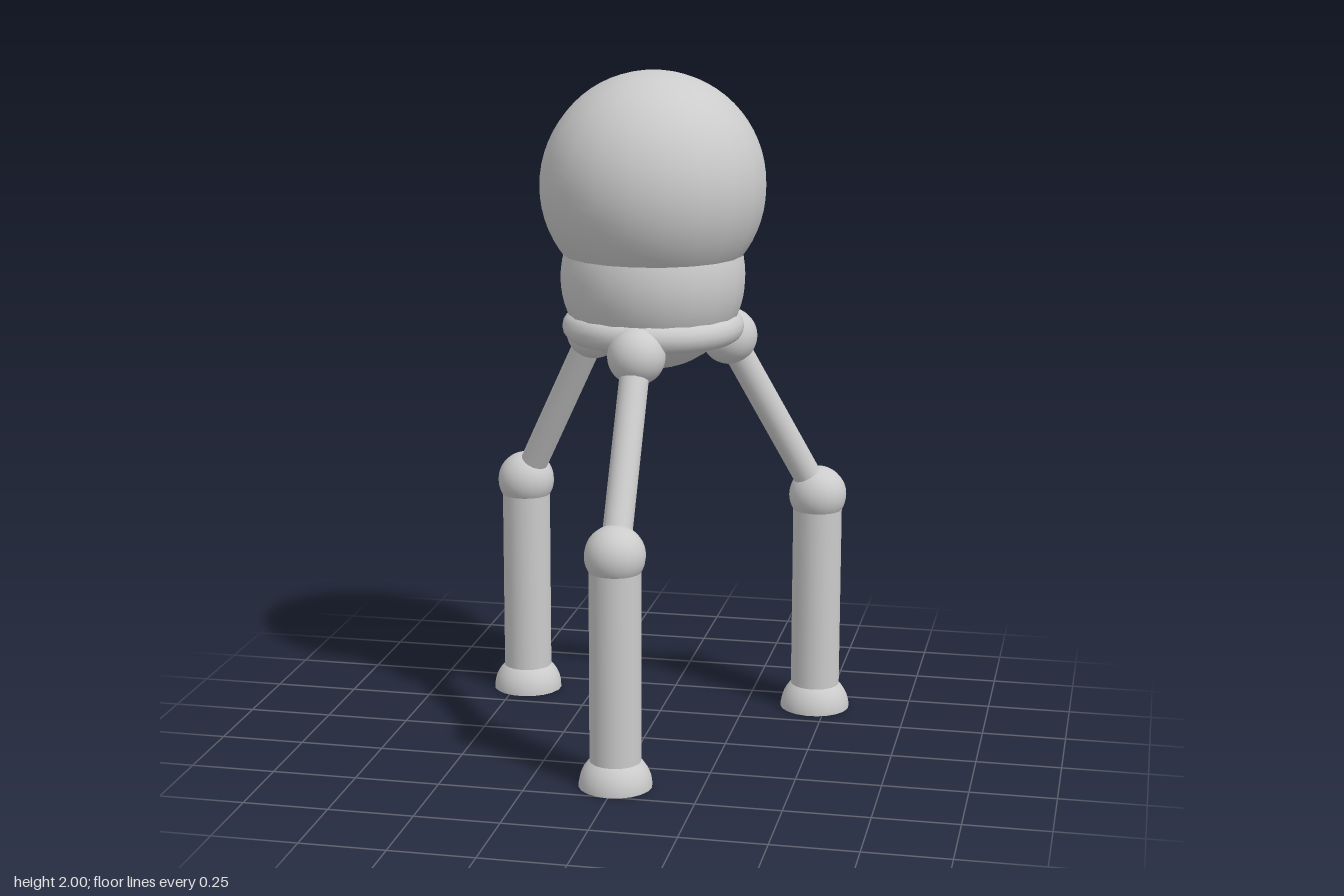
import * as THREE from 'three';

const SIDES = 20;
const material = new THREE.MeshStandardMaterial({ color: 0xcccccc });
const openMaterial = new THREE.MeshStandardMaterial({ color: 0xcccccc, side: THREE.DoubleSide });

function add(parent, name, geometry, x, y, z, mat = material) {
  const mesh = new THREE.Mesh(geometry, mat);
  mesh.name = name;
  mesh.position.set(x, y, z);
  parent.add(mesh);
  return mesh;
}

const ball = (r) => new THREE.SphereGeometry(r, SIDES, 32);

// Cylinder between two points
function rod(parent, name, a, b, r) {
  const dir = b.clone().sub(a);
  const mid = a.clone().add(b).multiplyScalar(0.5);
  const mesh = add(parent, name, new THREE.CylinderGeometry(r, r, dir.length(), SIDES), mid.x, mid.y, mid.z);
  mesh.quaternion.setFromUnitVectors(new THREE.Vector3(0, 1, 0), dir.normalize());
}

// One leg, reaching out along +z
function createLeg() {
  const leg = new THREE.Group();
  const hip = new THREE.Vector3(0, 1.2, 0.24);
  const knee = new THREE.Vector3(0, 0.685, 0.535);
  const ankle = new THREE.Vector3(0, 0.04, 0.535);
  add(leg, 'hipJoint', ball(0.085), hip.x, hip.y, hip.z);
  rod(leg, 'upperLeg', hip, knee, 0.043);
  add(leg, 'kneeJoint', ball(0.088), knee.x, knee.y, knee.z);
  rod(leg, 'lowerLeg', knee, ankle, 0.075);
  // Hollow dome foot, open underneath
  const dome = new THREE.SphereGeometry(0.107, SIDES, 12, 0, Math.PI * 2, 0, Math.PI / 2);
  add(leg, 'foot', dome, 0, 0, 0.535, openMaterial);
  return leg;
}

export function createModel() {
  const model = new THREE.Group();
  model.name = 'tripodWalker';

  // Body: head, smaller lower ball and the collar carrying the hips
  add(model, 'head', ball(0.335), 0, 1.665, 0);
  add(model, 'lowerBody', ball(0.275), 0, 1.395, 0);
  const collar = new THREE.TorusGeometry(0.225, 0.045, 16, 40).rotateX(Math.PI / 2);
  add(model, 'collar', collar, 0, 1.247, 0);

  // Three legs, one forward and two back
  ['frontLeg', 'backLeftLeg', 'backRightLeg'].forEach((name, i) => {
    const leg = createLeg();
    leg.name = name;
    leg.rotation.y = (i * Math.PI * 2) / 3;
    model.add(leg);
  });

  // Shift so the feet are centred front to back
  model.children.forEach((part) => { part.position.z -= 0.134; });
  return model;
}
